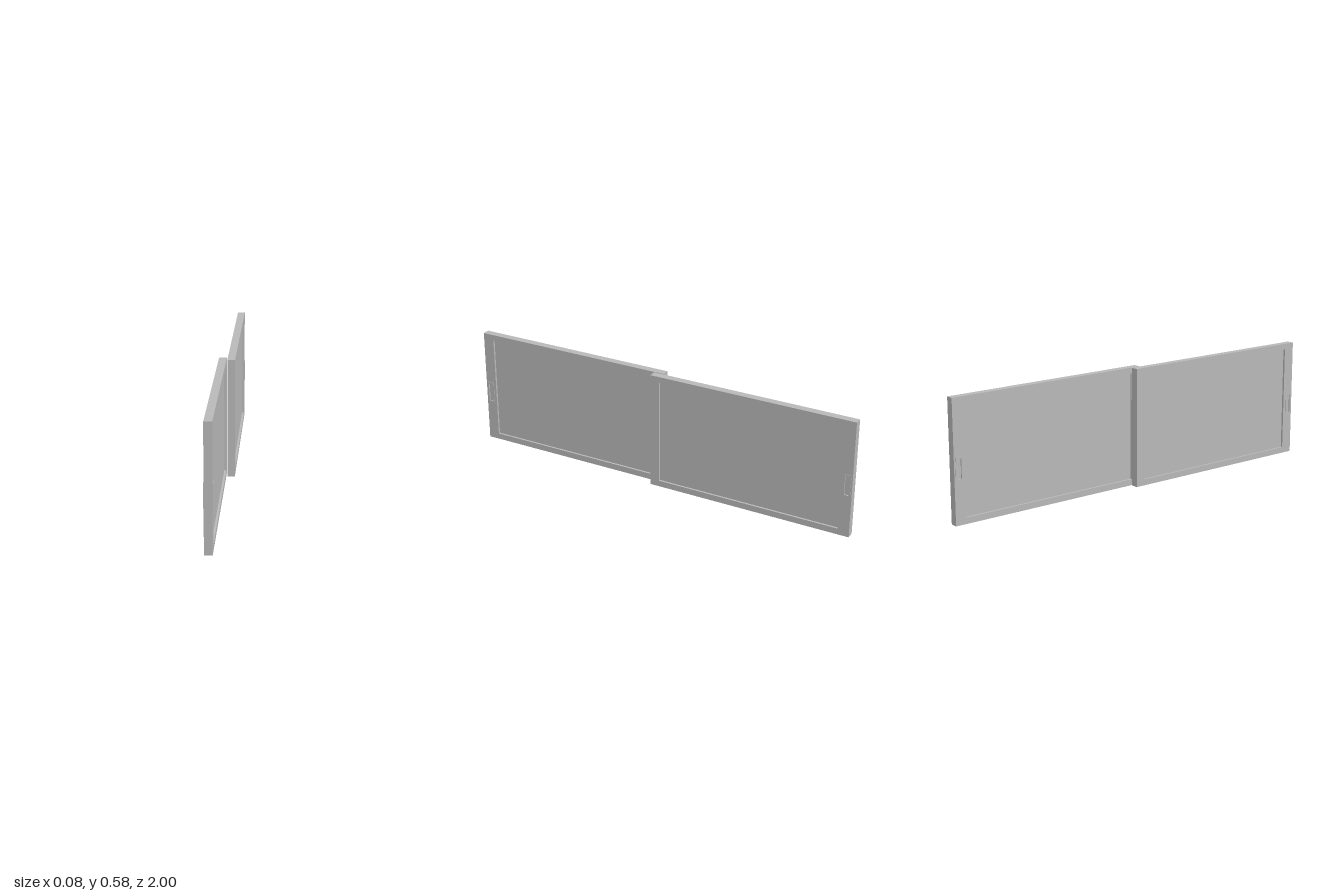
import * as THREE from 'three';

const H = 0.577;            // panel height
const CX = 0.0205;          // distance of each panel's mid-plane from x = 0

function rect(Type, u0, u1, v0, v1) {
  const s = new Type();
  s.moveTo(u0, v0);
  s.lineTo(u1, v0);
  s.lineTo(u1, v1);
  s.lineTo(u0, v1);
  s.closePath();
  return s;
}

// Extrude a flat outline (u = -z, v = y) across x, centred on the panel's mid-plane
function slab(shape, thickness) {
  const g = new THREE.ExtrudeGeometry(shape, { depth: thickness, bevelEnabled: false });
  g.translate(0, 0, -thickness / 2);
  g.rotateY(Math.PI / 2);
  g.translate(CX, 0, 0);
  return g;
}

export function createModel() {
  const grey = new THREE.MeshStandardMaterial({ color: 0xb8b8b8 });
  grey.name = 'grey';
  const model = new THREE.Group();
  model.name = 'slidingDoors';

  const field = [-0.024 + 0.046, 0.944, 0.03, 0.549];   // recessed field
  const grip = [0.957, 0.993, 0.204, 0.313];            // finger pull
  const r = 0.007;
  const inner = [grip[0] + r, grip[1] - r, grip[2] + r, grip[3] - r];

  // Surrounding frame, open for the board and the pull
  const frame = rect(THREE.Shape, -0.024, 1, 0, H);
  frame.holes.push(rect(THREE.Path, ...field), rect(THREE.Path, ...grip));

  // Raised rim of the pull, showing on both faces
  const rim = rect(THREE.Shape, ...grip);
  rim.holes.push(rect(THREE.Path, ...inner));

  const parts = {
    frame: slab(frame, 0.0365),
    board: slab(rect(THREE.Shape, ...field), 0.0165),
    pullRim: slab(rim, 0.041),
    pullFloor: slab(rect(THREE.Shape, ...inner), 0.029),
  };

  // Two identical doors, the second turned half way round
  ['backDoor', 'frontDoor'].forEach((name, i) => {
    const door = new THREE.Group();
    door.name = name;
    for (const [part, geometry] of Object.entries(parts)) {
      const mesh = new THREE.Mesh(geometry, grey);
      mesh.name = part;
      door.add(mesh);
    }
    door.rotation.y = i * Math.PI;
    model.add(door);
  });
  return model;
}
